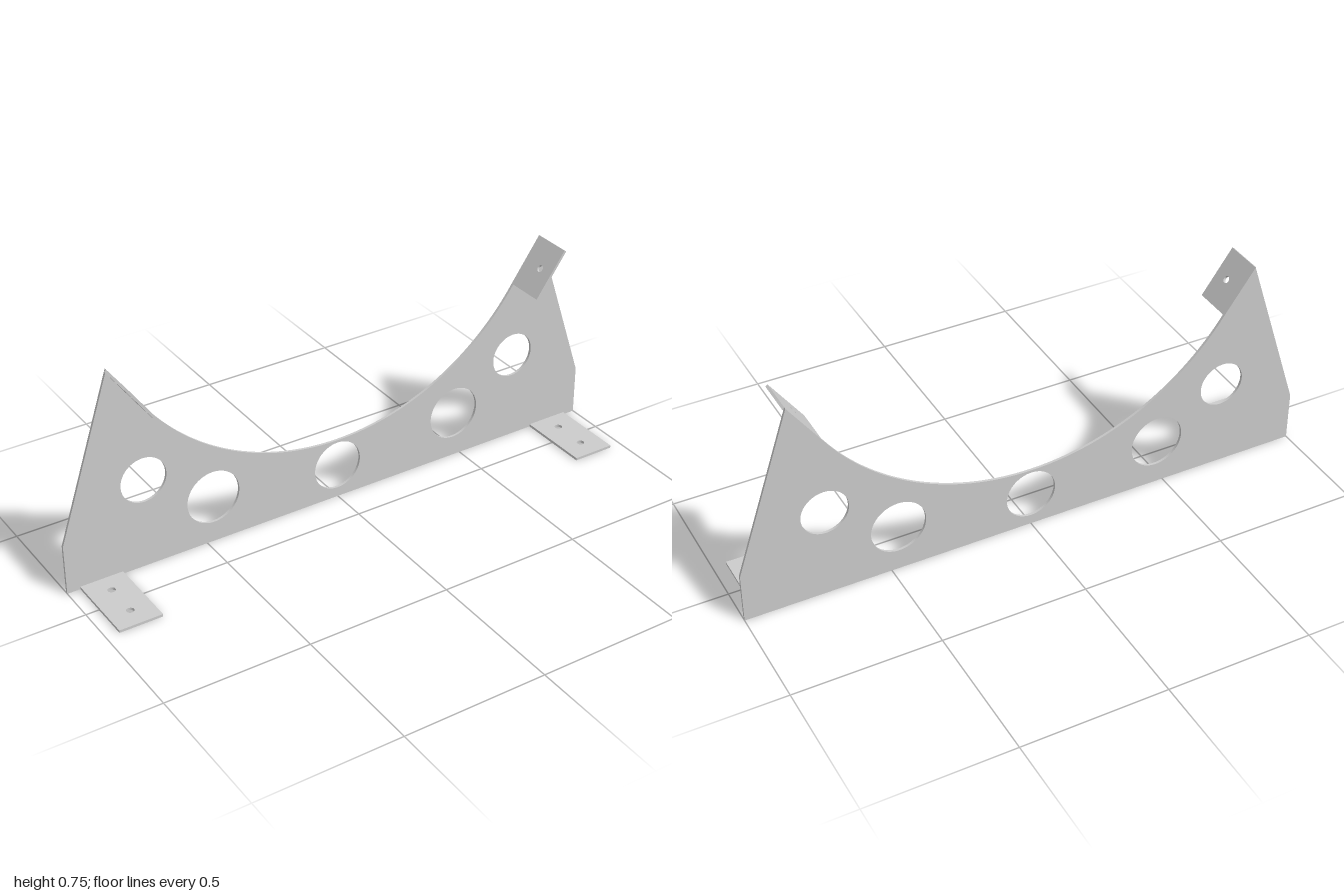
import * as THREE from 'three';

const T = 0.009;            // sheet thickness
const BACK = -0.137;        // rear face of the upright plate
const FRONT = BACK + T;

const material = new THREE.MeshStandardMaterial({ color: 0xcccccc });

function drill(shape, x, y, r) {
  const hole = new THREE.Path();
  hole.absarc(x, y, r, 0, Math.PI * 2, true);
  shape.holes.push(hole);
}

function sheet(shape) {
  return new THREE.ExtrudeGeometry(shape, { depth: T, bevelEnabled: false, curveSegments: 40 });
}

function rectangle(w, h) {
  return new THREE.Shape([[0, 0], [w, 0], [w, h], [0, h]].map(([x, y]) => new THREE.Vector2(x, y)));
}

function addMesh(group, name, geometry) {
  const mesh = new THREE.Mesh(geometry, material);
  mesh.name = name;
  group.add(mesh);
}

export function createModel() {
  const group = new THREE.Group();
  group.name = 'cradleBracket';

  // Upright plate: straight foot, sloping shoulders and a concave saddle
  const saddleEnd = new THREE.Vector2(0.703, 0.595);
  const tip = new THREE.Vector2(0.81, 0.747);
  const cy = 1.066, radius = 0.846;
  const angle = Math.atan2(saddleEnd.y - cy, saddleEnd.x);
  const outline = new THREE.Shape();
  outline.moveTo(-1, 0);
  outline.lineTo(1, 0);
  outline.lineTo(1, 0.176);
  outline.lineTo(tip.x, tip.y);
  outline.lineTo(saddleEnd.x, saddleEnd.y);
  outline.absarc(0, cy, radius, angle, -Math.PI - angle, true);
  outline.lineTo(-tip.x, tip.y);
  outline.lineTo(-1, 0.176);
  outline.closePath();

  // Lightening holes
  drill(outline, 0, 0.123, 0.088);
  for (const s of [-1, 1]) {
    drill(outline, s * 0.47, 0.168, 0.095);
    drill(outline, s * 0.712, 0.32, 0.08);
  }
  addMesh(group, 'uprightPlate', sheet(outline).translate(0, 0, BACK));

  const slope = tip.clone().sub(saddleEnd);
  const length = slope.length();
  slope.normalize();

  for (const s of [-1, 1]) {
    const side = s > 0 ? 'left' : 'right';

    // Foot tab bent forward along the ground, with two screw holes
    const foot = rectangle(0.15, 0.137 - FRONT);
    drill(foot, 0.075, 0.137 - 0.065, 0.013);
    drill(foot, 0.075, 0.137 + 0.06, 0.013);
    const footGeometry = sheet(foot).rotateX(-Math.PI / 2).translate(s * 0.88 - 0.075, 0, 0.137);
    addMesh(group, side + 'FootTab', footGeometry);

    // Saddle tab bent forward from the tangent edge, with one screw hole
    const tab = rectangle(length, -FRONT);
    drill(tab, length / 2, -0.056 - FRONT, 0.012);
    const tabGeometry = sheet(tab);
    if (s < 0) tabGeometry.translate(0, 0, -T);
    const along = new THREE.Vector3(s * slope.x, slope.y, 0);
    const forward = new THREE.Vector3(0, 0, 1);
    const normal = along.clone().cross(forward);
    tabGeometry.applyMatrix4(new THREE.Matrix4().makeBasis(along, forward, normal));
    tabGeometry.translate(s * saddleEnd.x, saddleEnd.y, FRONT);
    addMesh(group, side + 'SaddleTab', tabGeometry);
  }
  return group;
}
